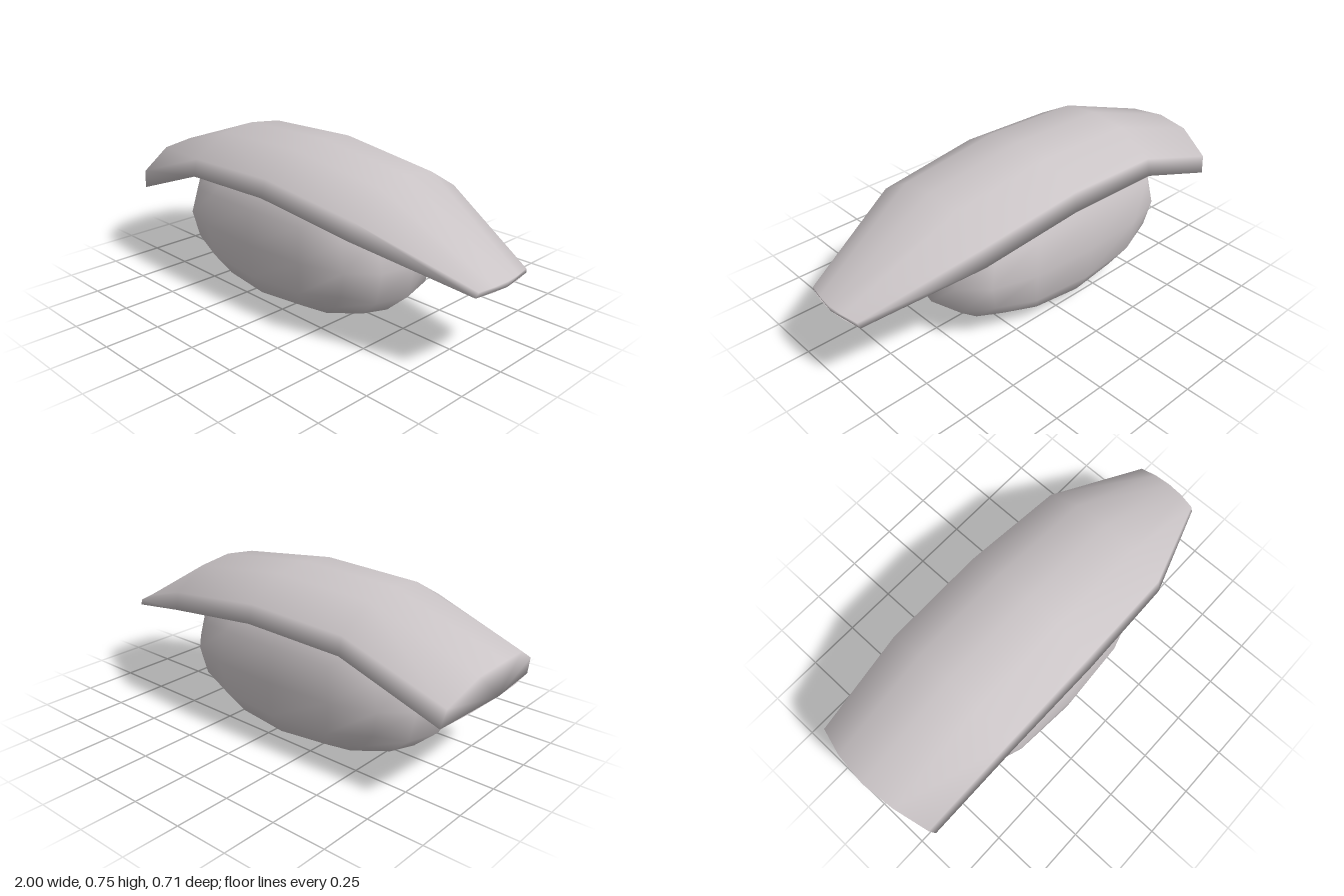
import * as THREE from 'three';
import { mergeVertices } from 'three/addons/utils/BufferGeometryUtils.js';

const paleGrey = new THREE.MeshStandardMaterial({ color: 0xcac4c6 });
paleGrey.name = 'paleGrey';

// Rounded rice block: a gridded box pulled onto a soft superellipsoid, flat on top and bottom
function riceGeometry() {
  let geo = new THREE.BoxGeometry(2, 2, 2, 4, 4, 4);
  geo.deleteAttribute('uv');
  geo.deleteAttribute('normal');
  geo = mergeVertices(geo);
  const pos = geo.attributes.position;
  const power = 2.8;
  const flat = (v) => Math.max(-1, Math.min(1, v / 0.953));
  for (let i = 0; i < pos.count; i++) {
    const p = [pos.getX(i), pos.getY(i), pos.getZ(i)];
    const norm = p.reduce((s, v) => s + Math.abs(v) ** power, 0) ** (-1 / power);
    const s = norm * (1 - 0.07 * Math.abs(p[0] * p[1] * p[2]));
    pos.setXYZ(i, -0.105 + 0.655 * p[0] * s, 0.315 + 0.315 * flat(p[1] * s), 0.355 * p[2] * s);
  }
  geo.computeVertexNormals();
  return geo;
}

// Draped slice: half sections [x, y, z] from top centre, over the lip, to the underside centre
const sections = [
  [[-1, 0.555, 0], [-0.985, 0.54, 0.16], [-0.95, 0.455, 0.315], [-0.935, 0.375, 0.33], [-0.965, 0.39, 0.17], [-0.985, 0.405, 0]],
  [[-0.48, 0.735, 0], [-0.48, 0.715, 0.165], [-0.48, 0.62, 0.335], [-0.48, 0.54, 0.352], [-0.48, 0.58, 0.2], [-0.48, 0.6, 0]],
  [[0, 0.748, 0], [0, 0.73, 0.167], [0, 0.635, 0.335], [0, 0.555, 0.357], [0, 0.59, 0.2], [0, 0.61, 0]],
  [[0.49, 0.69, 0], [0.49, 0.67, 0.16], [0.49, 0.575, 0.318], [0.49, 0.495, 0.335], [0.49, 0.54, 0.19], [0.49, 0.57, 0]],
  [[1, 0.39, 0], [0.994, 0.39, 0.08], [0.978, 0.387, 0.155], [0.973, 0.365, 0.167], [0.99, 0.365, 0.08], [0.997, 0.365, 0]],
];

function sliceGeometry() {
  const points = [];
  const index = [];
  const n = 10;
  for (const half of sections) {
    const mirrored = half.slice(1, 5).reverse().map(([x, y, z]) => [x, y, -z]);
    points.push(...[...half, ...mirrored].flat());
  }
  // Skin between neighbouring sections
  for (let i = 0; i < sections.length - 1; i++) {
    for (let j = 0; j < n; j++) {
      const k = (j + 1) % n;
      const a = i * n + j, b = i * n + k, c = b + n, d = a + n;
      index.push(a, b, c, a, c, d);
    }
  }
  // End caps fan out from the underside centre
  const last = (sections.length - 1) * n;
  for (let k = 1; k < n - 1; k++) {
    const p = (5 + k) % n, q = (6 + k) % n;
    index.push(5, q, p, last + 5, last + p, last + q);
  }
  const geo = new THREE.BufferGeometry();
  geo.setAttribute('position', new THREE.Float32BufferAttribute(points, 3));
  geo.setIndex(index);
  geo.computeVertexNormals();
  return geo;
}

export function createModel() {
  const model = new THREE.Group();
  model.name = 'nigiri';
  const add = (name, geo) => {
    const mesh = new THREE.Mesh(geo, paleGrey);
    mesh.name = name;
    model.add(mesh);
  };
  add('riceBlock', riceGeometry());
  add('toppingSlice', sliceGeometry());
  return model;
}
